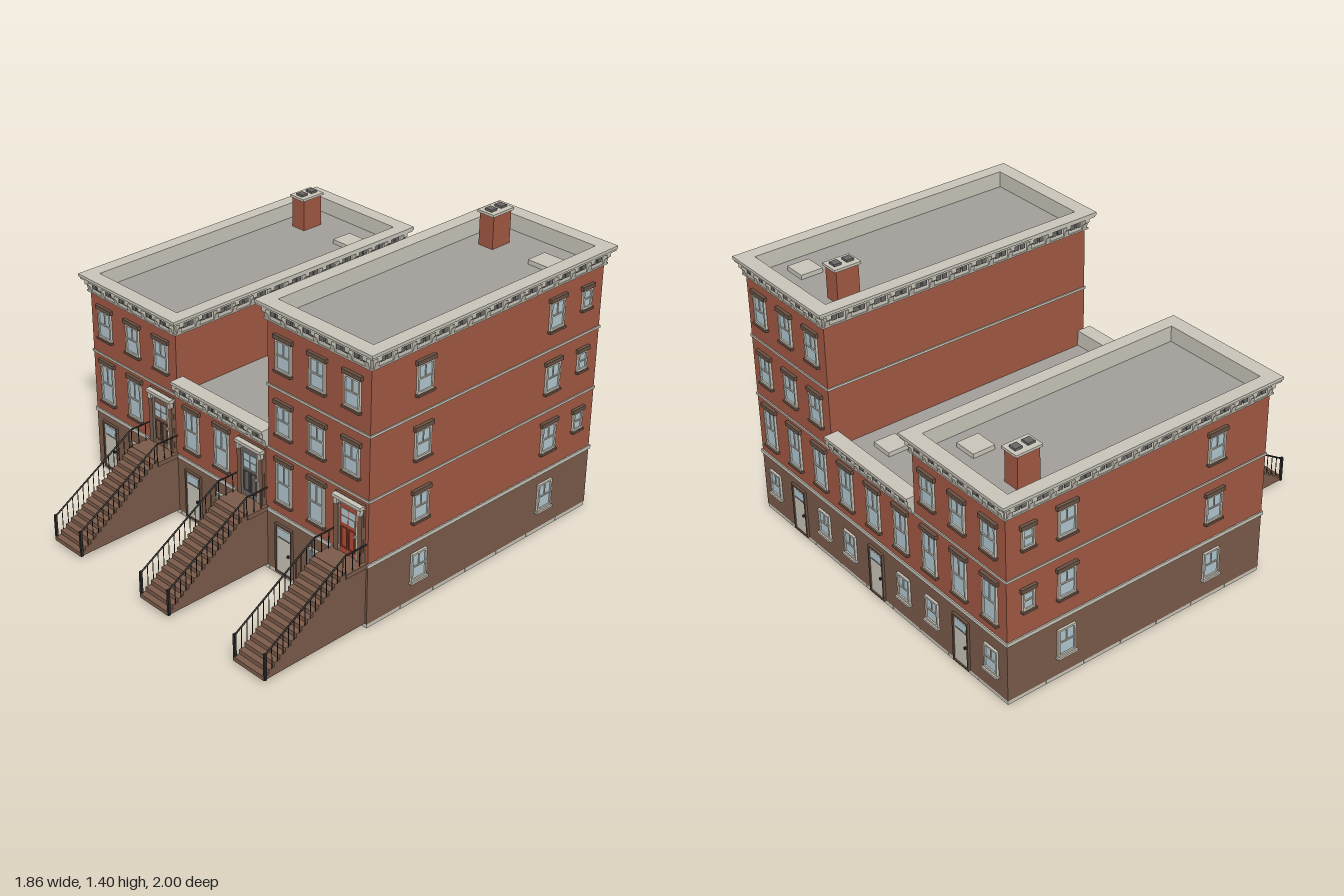
import * as THREE from 'three';

const mat = (name, color) => Object.assign(new THREE.MeshStandardMaterial({ color }), { name });
const M = {
  brick: mat('brick red', 0xa25843), stone: mat('brownstone', 0x7b5b4a),
  lintel: mat('dark brownstone', 0x695345), trim: mat('cream trim', 0xc9c5b9),
  roof: mat('roof grey', 0xa39f9a), glass: mat('window glass', 0xb2c8d0),
  iron: mat('black iron', 0x2d2b2a), dark: mat('dark grey', 0x696765),
  red: mat('door red', 0xb04c36),
};
const ZC = -0.2625, HZ = 0.7, HX = 0.2975, STEP = 0.198;
const FRONT = ZC + HZ, BACK = ZC - HZ;

function group(parent, name, x = 0, y = 0, z = 0, ry = 0) {
  const g = new THREE.Group();
  g.name = name;
  g.position.set(x, y, z);
  g.rotation.y = ry;
  parent.add(g);
  return g;
}
function mesh(parent, name, geo, material) {
  const m = new THREE.Mesh(geo, material);
  m.name = name;
  parent.add(m);
  return m;
}
// box given by its centre in x and z, and by bottom and top in y
function box(parent, name, material, x, y0, y1, z, w, d) {
  const m = mesh(parent, name, new THREE.BoxGeometry(w, y1 - y0, d), material);
  m.position.set(x, (y0 + y1) / 2, z);
  return m;
}
function rod(parent, name, a, b, r) {
  const dir = b.clone().sub(a);
  const m = mesh(parent, name, new THREE.CylinderGeometry(r, r, dir.length(), 6), M.iron);
  m.position.copy(a).add(b).multiplyScalar(0.5);
  m.quaternion.setFromUnitVectors(new THREE.Vector3(0, 1, 0), dir.normalize());
}
// outline of [z, y] points extruded across x
function sideProfile(points, width) {
  const s = new THREE.Shape(points.map(p => new THREE.Vector2(...p)));
  return new THREE.ExtrudeGeometry(s, { depth: width, bevelEnabled: false })
    .rotateY(-Math.PI / 2).translate(width / 2, 0, 0);
}
// flat rectangular frame, lying in xy
function frame(w, h, t, depth) {
  const rect = (T, a, b) => new T([[-a, -b], [a, -b], [a, b], [-a, b]].map(p => new THREE.Vector2(...p)));
  const s = rect(THREE.Shape, w / 2, h / 2);
  s.holes.push(rect(THREE.Path, w / 2 - t, h / 2 - t));
  return new THREE.ExtrudeGeometry(s, { depth, bevelEnabled: false });
}

// sash window on a wall facing local +z, with optional stone lintel
function sashWindow(wall, x, y0, y1, w = 0.085, lintel = true) {
  const g = group(wall, 'window', x), mid = (y0 + y1) / 2;
  box(g, 'pane', M.glass, 0, y0, y1, 0.001, w, 0.006);
  mesh(g, 'windowFrame', frame(w + 0.006, y1 - y0 + 0.006, 0.009, 0.011), M.trim).position.y = mid;
  box(g, 'sashBar', M.trim, 0, mid - 0.003, mid + 0.003, 0.003, w, 0.012);
  if (w > 0.07) box(g, 'glazingBar', M.trim, 0, mid, y1, 0.003, 0.004, 0.01);
  if (lintel) box(g, 'lintel', M.lintel, 0, y1 + 0.003, y1 + 0.022, 0.004, w + 0.025, 0.022);
  box(g, 'sill', lintel ? M.lintel : M.trim, 0, y0 - 0.013, y0 - 0.003, 0.006, w + 0.018, 0.024);
}
function basementDoor(wall, x) {
  const g = group(wall, 'basementDoor', x);
  mesh(g, 'doorFrame', frame(0.104, 0.245, 0.008, 0.012), M.lintel).position.y = 0.1425;
  box(g, 'doorLeaf', M.trim, 0, 0.022, 0.257, 0.001, 0.09, 0.01);
  box(g, 'doorLight', M.glass, 0, 0.208, 0.245, 0.004, 0.07, 0.006);
  box(g, 'doorRail', M.dark, 0, 0.197, 0.203, 0.004, 0.07, 0.007);
  box(g, 'doorKnob', M.iron, 0.032, 0.125, 0.135, 0.01, 0.008, 0.012);
}
function entrance(wall, x, leaf) {
  const g = group(wall, 'entrance', x);
  box(g, 'surround', M.stone, 0, 0.32, 0.595, 0.003, 0.165, 0.014);
  for (const s of [-1, 1]) {
    box(g, 'pilaster', M.stone, s * 0.068, 0.32, 0.55, 0.01, 0.026, 0.02);
    box(g, 'doorJamb', M.trim, s * 0.051, 0.32, 0.57, 0.01, 0.006, 0.016);
    box(g, 'hoodBracket', M.trim, s * 0.068, 0.545, 0.577, 0.015, 0.02, 0.024);
  }
  box(g, 'hood', M.trim, 0, 0.577, 0.592, 0.016, 0.165, 0.036);
  box(g, 'doorHead', M.trim, 0, 0.56, 0.577, 0.01, 0.116, 0.02);
  box(g, 'doorLeaf', leaf, 0, 0.322, 0.56, 0.009, 0.096, 0.012);
  for (const s of [-1, 1]) {
    for (const y of [0.468, 0.504]) box(g, 'doorPane', M.glass, s * 0.02, y, y + 0.032, 0.014, 0.036, 0.006);
    mesh(g, 'doorPanel', frame(0.036, 0.1, 0.004, 0.005), leaf).position.set(s * 0.022, 0.4, 0.014);
  }
  box(g, 'doorKnob', M.trim, 0.04, 0.425, 0.437, 0.018, 0.008, 0.012);
}

// row of brackets and frieze panels, hanging below y = 0 on a wall facing +z
function friezeRow(parent, y, len, n) {
  const g = group(parent, 'frieze', 0, y), pitch = len / n;
  const bracket = sideProfile([[0, -0.08], [0.012, -0.08], [0.02, -0.05], [0.032, -0.04], [0.032, -0.022], [0, -0.022]], 0.024);
  for (let i = 0; i <= n; i++) {
    const x = -len / 2 + 0.012 + i * (len - 0.024) / n;
    mesh(g, 'bracket', bracket, M.trim).position.x = x;
    if (i === n) continue;
    const px = x + (len - 0.024) / n / 2;
    for (const s of [-1, 1])
      box(g, 'friezePanel', M.dark, px + s * pitch * 0.15, -0.06, -0.036, 0.01, pitch * 0.23, 0.006);
  }
}
// rectangular ring in plan, standing between y0 and y1
function planRing(parent, name, y0, y1, hx, hz) {
  const s = new THREE.Shape([[-hx, -hz], [hx, -hz], [hx, hz], [-hx, hz]].map(p => new THREE.Vector2(...p)));
  s.holes.push(new THREE.Path([[-0.27, -0.665], [0.27, -0.665], [0.27, 0.665], [-0.27, 0.665]].map(p => new THREE.Vector2(...p))));
  const geo = new THREE.ExtrudeGeometry(s, { depth: y1 - y0, bevelEnabled: false }).rotateX(-Math.PI / 2);
  mesh(parent, name, geo, M.trim).position.set(0, y0, ZC);
}
function cornice(house, top, sides) {
  const g = group(house, 'cornice');
  const layers = [[0.085, 0.078, 0.012], [0.078, 0.024, 0.008], [0.024, 0.014, 0.033], [0.014, 0, 0.0375]];
  for (const [a, b, out] of layers) {
    if (sides) planRing(g, 'corniceLayer', top - a, top - b, HX + out, HZ + out);
    else for (const s of [-1, 1])
      box(g, 'corniceLayer', M.trim, 0, top - a, top - b, ZC + s * (0.665 + HZ + out) / 2, HX * 2, HZ + out - 0.665);
  }
  friezeRow(group(g, 'front', 0, 0, FRONT), top, HX * 2, 6);
  friezeRow(group(g, 'back', 0, 0, BACK, Math.PI), top, HX * 2, 6);
  if (sides) for (const s of [-1, 1])
    friezeRow(group(g, 'side', s * HX, 0, ZC, s * Math.PI / 2), top, HZ * 2, 13);
}
function roofItems(house, top) {
  const y = top - 0.08, x = -0.15, z = -0.76;
  box(house, 'roofDeck', M.roof, 0, y, y + 0.004, ZC, HX * 2 - 0.004, 1.36);
  box(house, 'roofHatch', M.trim, 0.145, y, y + 0.025, z, 0.11, 0.108);
  const c = group(house, 'chimney', x, 0, z);
  box(c, 'chimneyStack', M.brick, 0, y, top + 0.078, 0, 0.08, 0.112);
  box(c, 'chimneyCap', M.trim, 0, top + 0.078, top + 0.09, 0, 0.092, 0.132);
  for (const s of [-1, 1]) box(c, 'flue', M.dark, 0, top + 0.09, top + 0.1, s * 0.031, 0.038, 0.036);
}

// stoop with steps, landing and iron railings
function stoop(house, x) {
  const g = group(house, 'stoop', x), n = 15, z0 = 0.555, y0 = 0.022, top = 0.32;
  const run = (1 - z0) / n, rise = (top - y0) / n, pts = [[FRONT, y0], [1, y0]];
  for (let i = 0; i < n; i++) {
    pts.push([1 - i * run, y0 + (i + 1) * rise]);
    pts.push([1 - (i + 1) * run, y0 + (i + 1) * rise]);
  }
  pts.push([FRONT, top]);
  mesh(g, 'steps', sideProfile(pts, 0.18), M.stone);
  box(g, 'landing', M.stone, 0, top - 0.02, top + 0.002, (FRONT + z0) / 2, 0.196, z0 - FRONT);
  const V = (a, b, c) => new THREE.Vector3(a, b, c);
  for (const s of [-1, 1]) {
    const rx = s * 0.09, lowY = 0.142, highY = 0.41;
    rod(g, 'handrail', V(rx, lowY, 0.994), V(rx, highY, z0), 0.004);
    rod(g, 'handrail', V(rx, highY, z0), V(rx, highY, FRONT), 0.004);
    box(g, 'newelPost', M.iron, rx, y0, 0.15, 0.992, 0.011, 0.011);
    for (let i = 1; i < n; i++) {
      const z = 1 - (i + 0.5) * run, t = (0.994 - z) / (0.994 - z0);
      rod(g, 'baluster', V(rx, y0 + (i + 1) * rise - 0.002, z), V(rx, lowY + t * (highY - lowY), z), 0.002);
    }
    for (const z of [z0, 0.515, 0.475]) rod(g, 'baluster', V(rx, top, z), V(rx, highY, z), 0.0022);
  }
}

function house(root, i, storeys, leaf, outer) {
  const g = group(root, 'house', i * HX * 2), top = 0.4 + 0.3 * storeys;
  box(g, 'basementWall', M.stone, 0, 0.02, 0.3, ZC, HX * 2, HZ * 2);
  box(g, 'brickWall', M.brick, 0, 0.3, top - 0.08, ZC, HX * 2, HZ * 2);
  box(g, 'basementBand', M.trim, 0, 0.3, 0.318, ZC, HX * 2 + 0.012, HZ * 2 + 0.012);
  for (let f = 1; f < storeys; f++)
    box(g, 'floorBand', M.trim, 0, 0.31 + f * 0.3, 0.321 + f * 0.3, ZC, HX * 2 + 0.01, HZ * 2 + 0.01);
  cornice(g, top, outer !== 0);
  roofItems(g, top);
  stoop(g, STEP);

  const front = group(g, 'frontWall', 0, 0, FRONT), back = group(g, 'backWall', 0, 0, BACK, Math.PI);
  basementDoor(front, -STEP);
  sashWindow(front, 0, 0.12, 0.237, 0.08, false);
  entrance(front, STEP, leaf);
  basementDoor(back, 0);
  for (const s of [-1, 1]) sashWindow(back, s * STEP, 0.12, 0.237, 0.08, false);
  for (let f = 0; f < storeys; f++) {
    const lo = f ? 0.41 + f * 0.3 : 0.382, hi = f ? 0.545 + f * 0.3 : 0.57;
    for (const c of [-1, 0, 1]) {
      if (f || c < 1) sashWindow(front, c * STEP, lo, hi);
      sashWindow(back, c * STEP, lo, hi);
    }
  }
  // outer end wall windows
  if (!outer) return;
  const side = group(g, 'endWall', outer * HX, 0, 0, outer * Math.PI / 2);
  for (const z of [0.14, -0.662]) {
    sashWindow(side, -outer * z, 0.12, 0.25, 0.085, false);
    for (let f = 0; f < storeys; f++) sashWindow(side, -outer * z, 0.415 + f * 0.3, 0.542 + f * 0.3);
  }
  for (let f = 0; f < storeys; f++) sashWindow(side, outer * 0.857, 0.445 + f * 0.3, 0.53 + f * 0.3, 0.055);
}

export function createModel() {
  const root = new THREE.Group();
  root.name = 'rowHouses';
  house(root, -1, 2, M.stone, -1);
  house(root, 0, 1, M.dark, 0);
  house(root, 1, 3, M.red, 1);
  // paving slabs under the row
  const paving = group(root, 'paving'), px = HX * 6 / 9, pz = HZ * 2 / 7;
  for (let i = 0; i < 9; i++) for (let j = 0; j < 7; j++)
    box(paving, 'slab', M.trim, (i - 4) * px, 0, 0.02, ZC + (j - 3) * pz, px - 0.003, pz - 0.003);
  return root;
}
